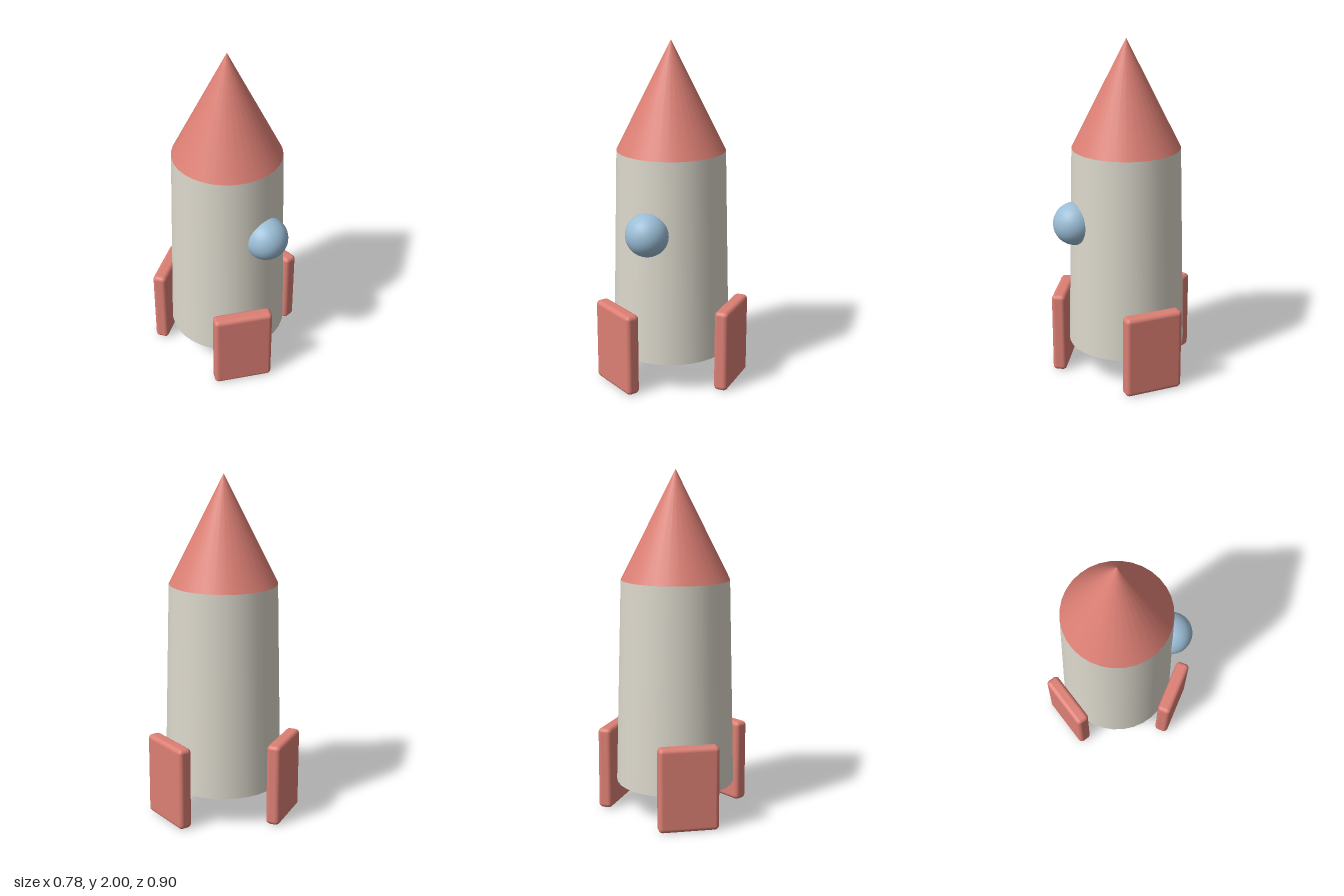
import * as THREE from 'three';
import { RoundedBoxGeometry } from 'three/addons/geometries/RoundedBoxGeometry.js';

export function createModel() {
  const cream = new THREE.MeshStandardMaterial({ color: 0xdcd8cc });
  cream.name = 'cream';
  const red = new THREE.MeshStandardMaterial({ color: 0xdc7f74 });
  red.name = 'coral red';
  const blue = new THREE.MeshStandardMaterial({ color: 0x9bbdd6 });
  blue.name = 'pale blue';

  const rocket = new THREE.Group();
  rocket.name = 'rocket';
  rocket.position.x = -0.037;

  const add = (name, geometry, material, x, y, z) => {
    const mesh = new THREE.Mesh(geometry, material);
    mesh.name = name;
    mesh.position.set(x, y, z);
    rocket.add(mesh);
    return mesh;
  };

  // Slightly tapered hull with a pointed nose
  const hullBottom = 0.18, hullTop = 1.375;
  add('hull', new THREE.CylinderGeometry(0.315, 0.347, hullTop - hullBottom, 32), cream,
    0, (hullTop + hullBottom) / 2, 0);
  add('noseCone', new THREE.ConeGeometry(0.315, 2 - hullTop, 32), red, 0, (2 + hullTop) / 2, 0);

  // Bulging round porthole on the front
  add('porthole', new THREE.SphereGeometry(0.125, 32, 24), blue, 0, 0.953, 0.322);

  // Three rounded fin plates, each tangent to the hull
  const finGeometry = new RoundedBoxGeometry(0.083, 0.49, 0.347, 4, 0.025);
  ['leftFin', 'backFin', 'frontFin'].forEach((name, i) => {
    const angle = (i * Math.PI * 2) / 3;
    const fin = add(name, finGeometry, red, 0.386 * Math.cos(angle), 0.245, -0.386 * Math.sin(angle));
    fin.rotation.y = angle;
  });

  const model = new THREE.Group();
  model.add(rocket);
  return model;
}
